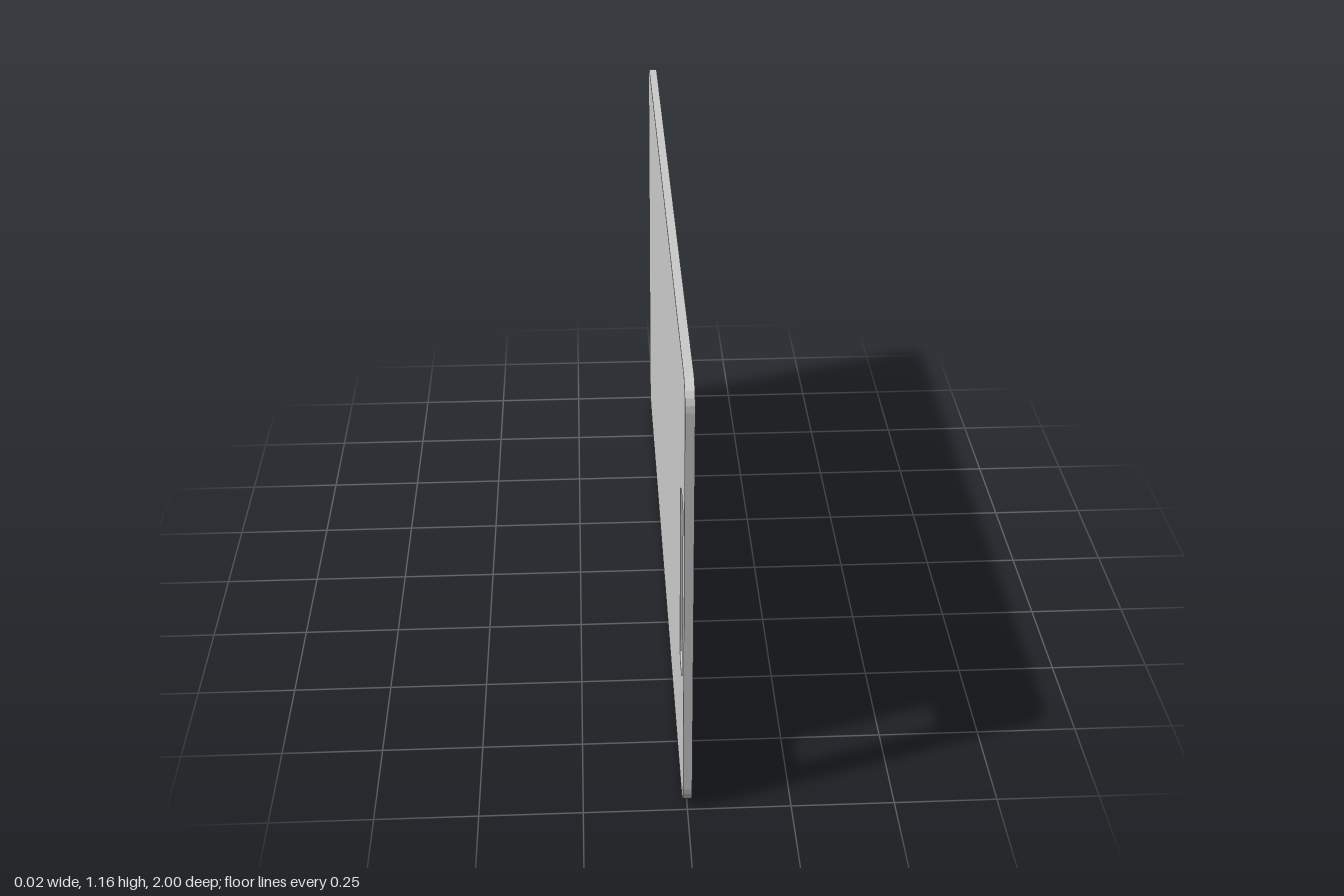
import * as THREE from 'three';

const LENGTH = 2, HEIGHT = 1.163, THICK = 0.022, RADIUS = 0.062;

export function createModel() {
  const group = new THREE.Group();
  group.name = 'cuttingBoard';

  // Board outline with rounded corners (shape x becomes z)
  const h = LENGTH / 2, r = RADIUS;
  const outline = new THREE.Shape();
  outline.absarc(h - r, r, r, -Math.PI / 2, 0);
  outline.absarc(h - r, HEIGHT - r, r, 0, Math.PI / 2);
  outline.absarc(-h + r, HEIGHT - r, r, Math.PI / 2, Math.PI);
  outline.absarc(-h + r, r, r, Math.PI, Math.PI * 1.5);
  outline.closePath();

  // Handle slot with shallow bowed ends
  const z0 = 0.838, z1 = 0.94, y0 = 0.352, y1 = 0.814, bow = 0.036;
  const slot = new THREE.Path();
  slot.moveTo(z0, y0);
  slot.lineTo(z0, y1);
  slot.quadraticCurveTo((z0 + z1) / 2, y1 + bow, z1, y1);
  slot.lineTo(z1, y0);
  slot.quadraticCurveTo((z0 + z1) / 2, y0 - bow, z0, y0);
  outline.holes.push(slot);

  // Thin slab standing on its long edge
  const geometry = new THREE.ExtrudeGeometry(outline, { depth: THICK, bevelEnabled: false, curveSegments: 3 });
  geometry.translate(0, 0, -THICK / 2);
  geometry.rotateY(-Math.PI / 2);

  const board = new THREE.Mesh(geometry, new THREE.MeshStandardMaterial({ color: 0xcccccc, flatShading: true }));
  board.name = 'board';
  group.add(board);
  return group;
}
